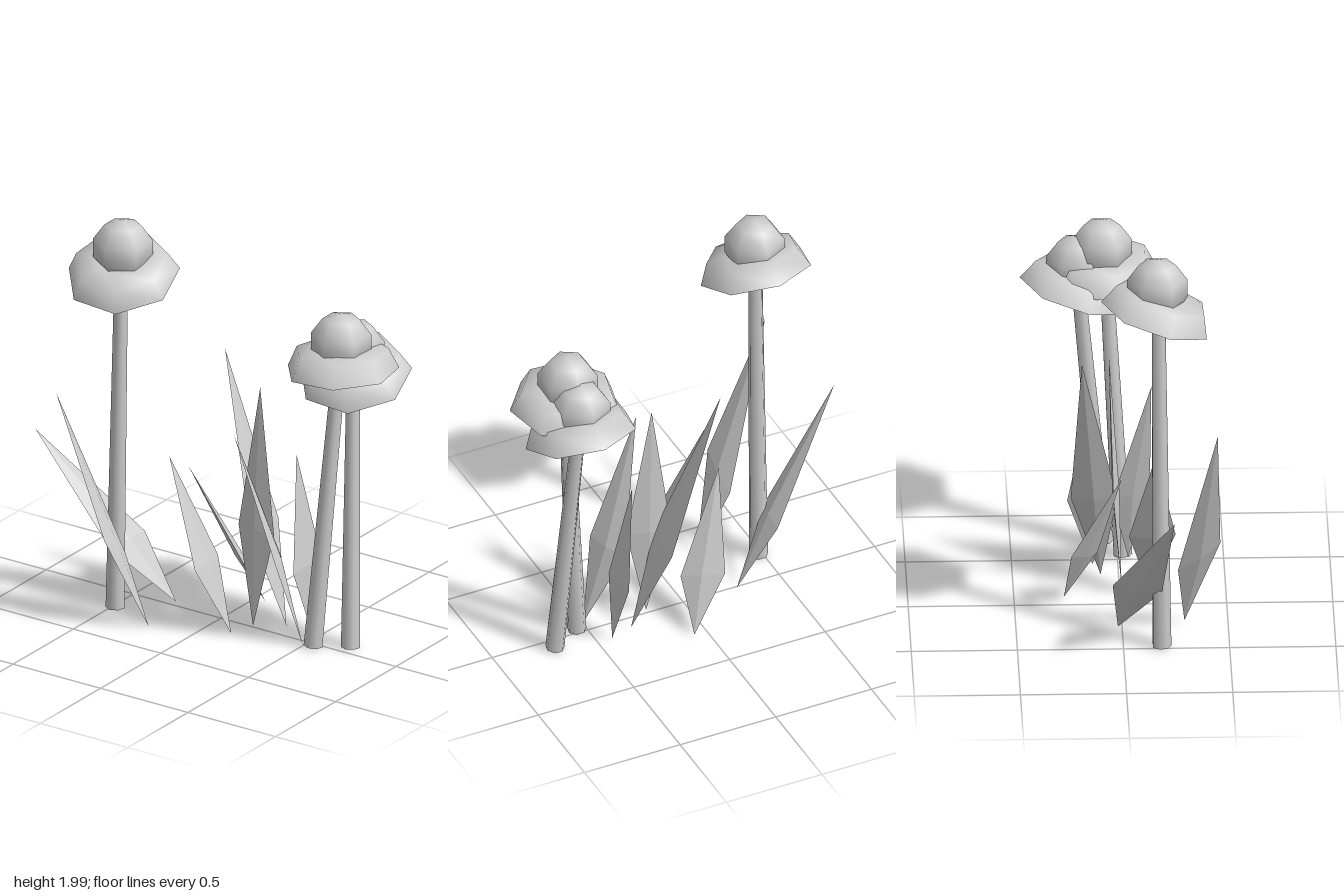
import * as THREE from 'three';

const lightGrey = new THREE.MeshStandardMaterial({ color: 0xcccccc });
lightGrey.name = 'light grey';
lightGrey.side = THREE.DoubleSide;

const V = (p) => new THREE.Vector3(...p);

function part(name, geometry) {
  const mesh = new THREE.Mesh(geometry, lightGrey);
  mesh.name = name;
  return mesh;
}

// Slender tapering stalk between two points
function makeStem(from, to) {
  const a = V(from), b = V(to);
  const dir = b.clone().sub(a);
  const stem = part('stem', new THREE.CylinderGeometry(0.033, 0.046, dir.length(), 7));
  stem.position.copy(a).lerp(b, 0.5);
  stem.quaternion.setFromUnitVectors(new THREE.Vector3(0, 1, 0), dir.normalize());
  return stem;
}

// Hollow seven-sided skirt of petals with a faceted ball on top
function makeFlower({ base, hat, ball, tilt }) {
  const flower = new THREE.Group();
  flower.name = 'flower';
  const profile = [[0.272, 0], [0.224, 0.1], [0.12, 0.11], [0, 0.11]]
    .map(([r, y]) => new THREE.Vector2(r, y));
  const skirtGeometry = new THREE.LatheGeometry(profile, 7);
  skirtGeometry.rotateY(Math.PI);
  const skirt = part('petalSkirt', skirtGeometry);
  skirt.position.set(...hat);
  skirt.rotation.set(tilt[0], 0, tilt[1]);

  const ballGeometry = new THREE.SphereGeometry(0.15, 6, 5);
  ballGeometry.rotateY(Math.PI / 6);
  const centre = part('flowerCentre', ballGeometry);
  centre.position.set(...ball);

  const top = [hat[0], hat[1] + 0.08, hat[2] + 0.01];
  flower.add(makeStem(base, top), skirt, centre);
  return flower;
}

// Pointed blade: base, tip and two side corners, with a slight ridge on both faces
function makeLeaf([base, tip, sideA, sideB]) {
  const b = V(base), t = V(tip), s = V(sideA), o = V(sideB);
  const mid = s.clone().add(o).multiplyScalar(0.5);
  const normal = s.clone().sub(o).cross(t.clone().sub(b)).normalize().multiplyScalar(0.018);
  const front = mid.clone().add(normal), back = mid.clone().sub(normal);
  const ring = [t, o, b, s];
  const points = [];
  ring.forEach((p, i) => {
    const next = ring[(i + 1) % 4];
    points.push(p, next, front, next, p, back);
  });
  const geometry = new THREE.BufferGeometry().setFromPoints(points);
  geometry.computeVertexNormals();
  return part('leaf', geometry);
}

export function createModel() {
  const model = new THREE.Group();
  model.name = 'flowerPatch';

  const flowers = [
    { base: [-0.48, 0.01, 0.18], hat: [-0.455, 1.705, 0.154], ball: [-0.45, 1.85, 0.16], tilt: [0.31, -0.08] },
    { base: [0.545, 0.01, 0.025], hat: [0.645, 1.415, -0.065], ball: [0.638, 1.555, -0.07], tilt: [-0.03, 0.06] },
    { base: [0.7, 0.01, -0.06], hat: [0.63, 1.335, -0.197], ball: [0.63, 1.475, -0.19], tilt: [0.3, -0.08] },
  ];
  flowers.forEach((f) => model.add(makeFlower(f)));

  // Each leaf: base, tip, one side corner, other side corner
  const leaves = [
    [[-0.27, 0.015, -0.02], [-0.9, 0.835, 0.23], [-0.51, 0.3, 0.18], [-0.47, 0.32, -0.05]],
    [[-0.21, 0.015, 0.295], [-0.64, 1.165, 0.44], [-0.35, 0.48, 0.46], [-0.37, 0.35, 0.26]],
    [[0.155, 0.015, 0.14], [-0.185, 0.85, 0.16], [0.03, 0.35, 0.26], [0.01, 0.35, 0.04]],
    [[0.07, 0.015, -0.265], [-0.185, 0.74, 0], [-0.105, 0.3, -0.235], [0.065, 0.25, -0.105]],
    [[0.315, 0.015, -0.085], [-0.105, 1.3, -0.185], [0.17, 0.48, -0.23], [0.16, 0.48, -0.01]],
    [[0.19, 0.015, 0.01], [0.19, 1.22, -0.05], [0.3, 0.5, -0.005], [0.08, 0.5, -0.03]],
    [[0.5, 0.015, 0.05], [0.175, 1.05, 0.15], [0.415, 0.43, 0.15], [0.32, 0.4, -0.03]],
    [[0.43, 0.015, -0.12], [0.335, 0.88, -0.14], [0.4, 0.36, -0.24], [0.4, 0.32, -0.02]],
  ];
  leaves.forEach((l) => model.add(makeLeaf(l)));
  return model;
}
